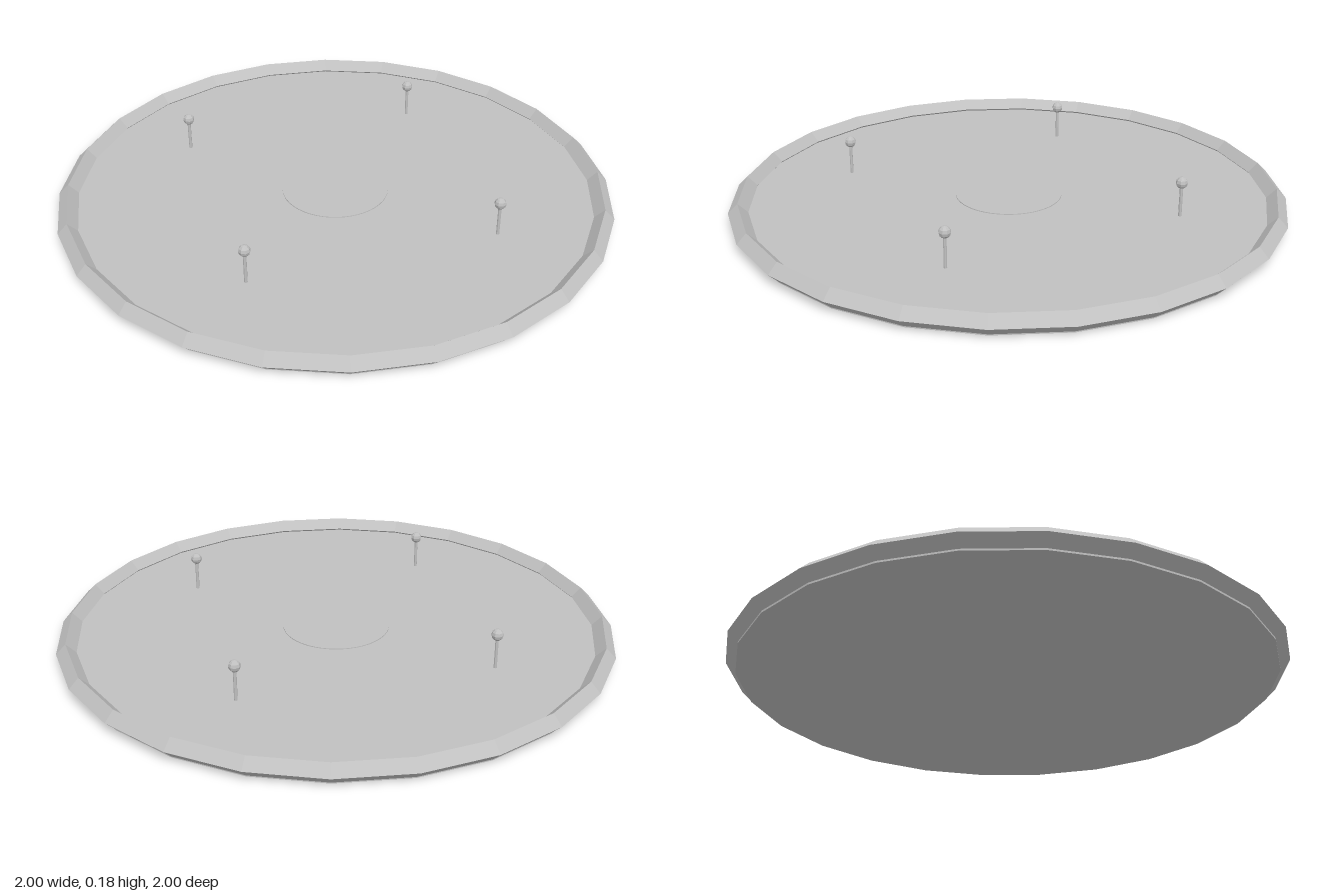
import * as THREE from 'three';

const grey = new THREE.MeshStandardMaterial({ color: 0xc0c0c0, flatShading: true });
grey.name = 'light grey';

const SIDES = 24;

function addPart(parent, name, geometry, x = 0, y = 0, z = 0) {
  const mesh = new THREE.Mesh(geometry, grey);
  mesh.name = name;
  mesh.position.set(x, y, z);
  parent.add(mesh);
  return mesh;
}

export function createModel() {
  const model = new THREE.Group();
  model.name = 'roundPlatform';

  // Floor slab
  const floorTop = 0.033;
  addPart(model, 'floor', new THREE.CylinderGeometry(0.963, 0.963, floorTop, SIDES), 0, floorTop / 2, 0);

  // Diamond-section rim
  const rim = new THREE.TorusGeometry(0.965, 0.035, 4, SIDES).rotateX(-Math.PI / 2);
  addPart(model, 'rim', rim, 0, 0.04, 0);

  // Thin round marking in the middle
  addPart(model, 'centreDisc', new THREE.CylinderGeometry(0.193, 0.193, 0.003, 48), 0, floorTop + 0.0015, 0);

  // Four pins with ball heads, a quarter turn apart
  const headY = 0.158;
  const stemHeight = headY - floorTop;
  for (let i = 0; i < 4; i++) {
    const angle = (i * Math.PI) / 2;
    const pin = new THREE.Group();
    pin.name = 'pin';
    pin.position.set(0.63 * Math.sin(angle), 0, 0.63 * Math.cos(angle));
    addPart(pin, 'pinStem', new THREE.CylinderGeometry(0.006, 0.006, stemHeight, 8), 0, floorTop + stemHeight / 2, 0);
    addPart(pin, 'pinHead', new THREE.SphereGeometry(0.021, 8, 6), 0, headY, 0);
    model.add(pin);
  }

  return model;
}
